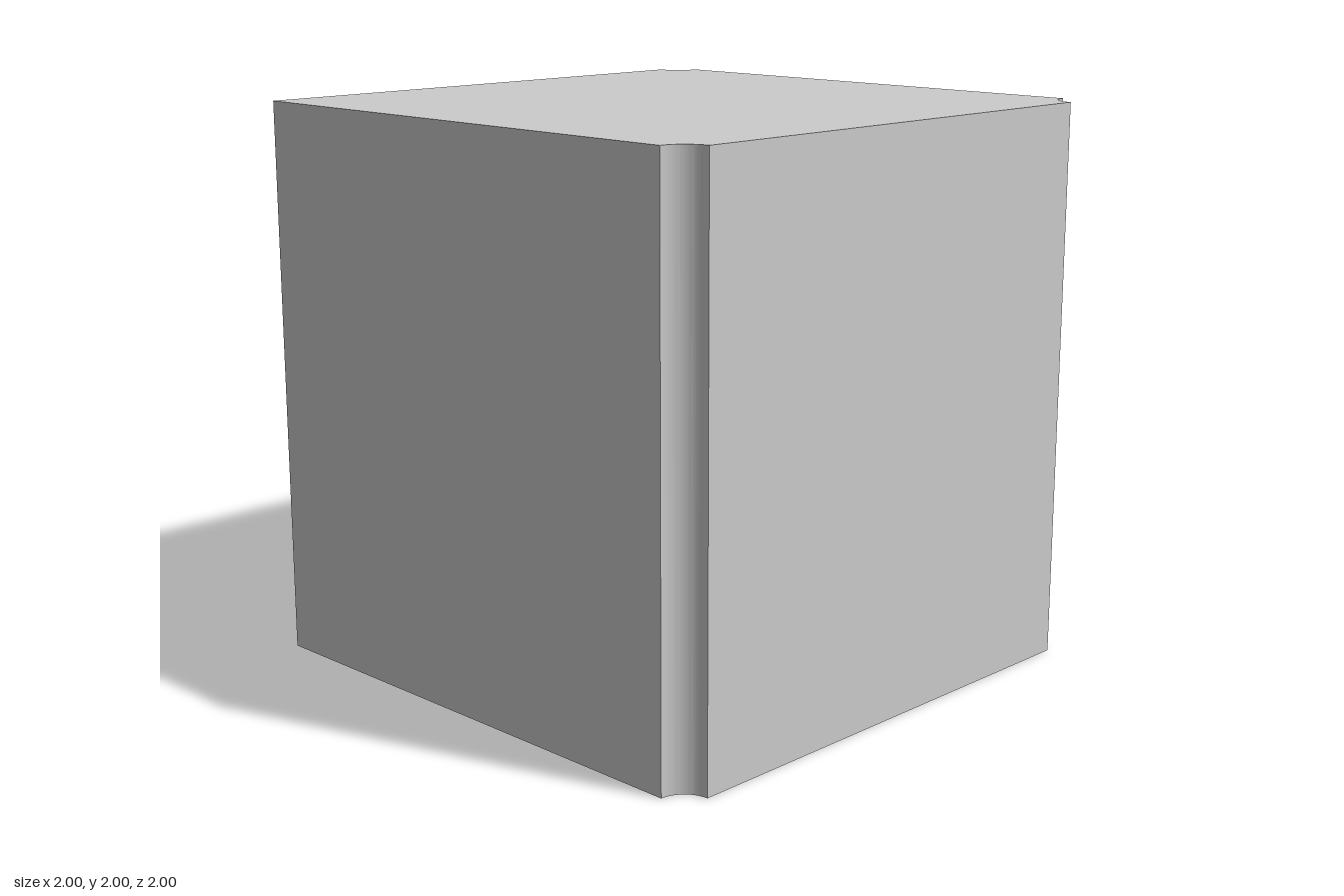
import * as THREE from 'three';
import { toCreasedNormals } from 'three/addons/utils/BufferGeometryUtils.js';

const HALF = 1, HEIGHT = 2, NOTCH = 0.1;

export function createModel() {
  const group = new THREE.Group();
  group.name = 'notchedBlock';

  // Square plan (shape y = -z) with a concave quarter-round cut from three corners
  const plan = new THREE.Shape();
  [[-1, -1, 90], [1, -1, 180], [1, 1, 270]].forEach(([sx, sy, deg]) => {
    const start = THREE.MathUtils.degToRad(deg);
    plan.absarc(sx * HALF, sy * HALF, NOTCH, start, start - Math.PI / 2, true);
  });
  // The back right corner stays square
  plan.lineTo(-HALF, HALF);
  plan.closePath();

  // Stand the plan upright and keep only the grooves smooth
  let geometry = new THREE.ExtrudeGeometry(plan, { depth: HEIGHT, bevelEnabled: false, curveSegments: 16 });
  geometry.rotateX(-Math.PI / 2);
  geometry = toCreasedNormals(geometry, Math.PI / 6);

  const block = new THREE.Mesh(geometry, new THREE.MeshStandardMaterial({ color: 0xcccccc }));
  block.name = 'block';
  group.add(block);
  return group;
}
